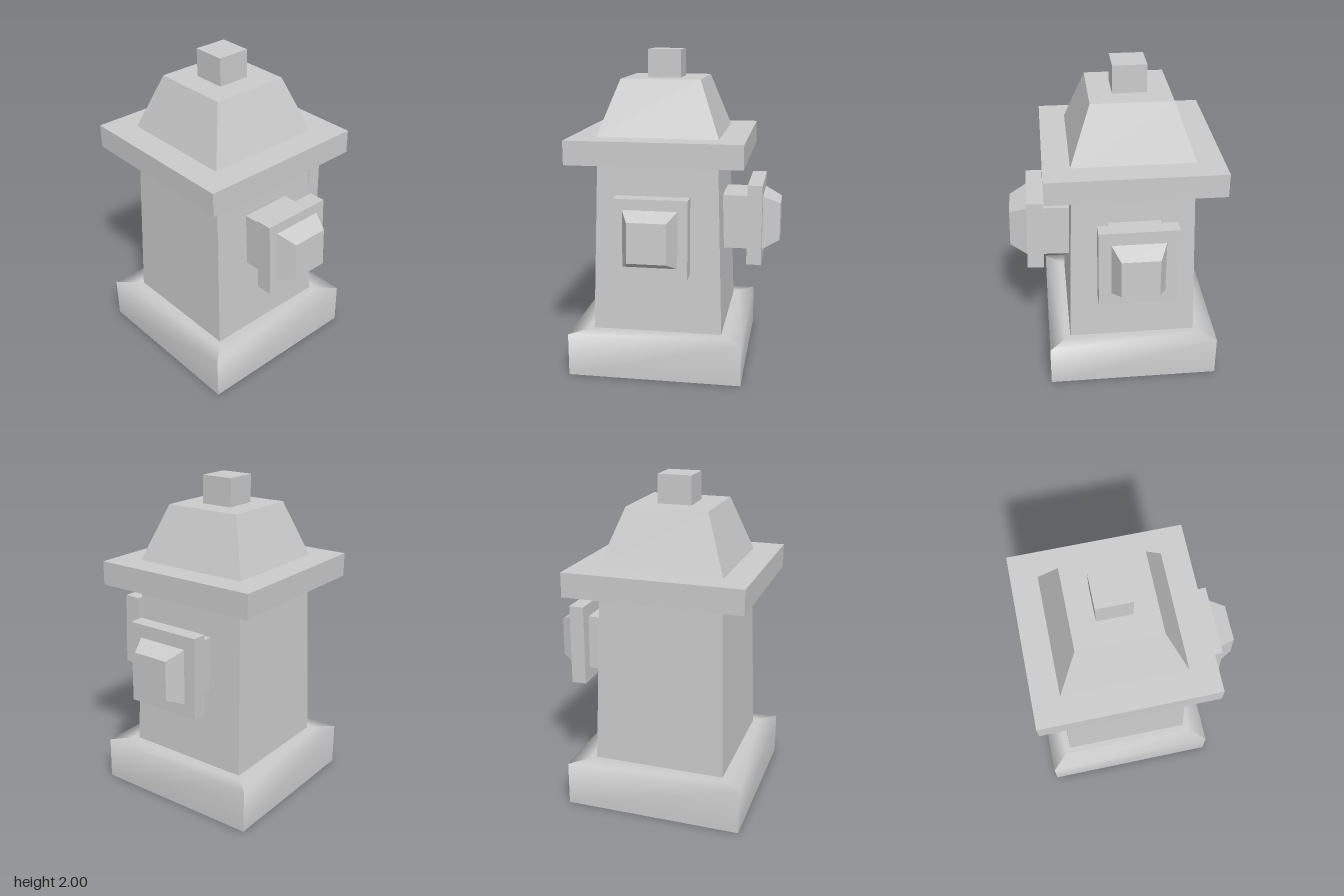
import * as THREE from 'three';

const CX = -0.1, CZ = -0.112; // main axis of the hydrant
const flat = new THREE.MeshStandardMaterial({ color: 0xcccccc, flatShading: true });
const smooth = new THREE.MeshStandardMaterial({ color: 0xcccccc });

// Square frustum standing on the origin, growing along +y
function frustum(halfBottom, halfTop, height) {
  const g = new THREE.CylinderGeometry(halfTop * Math.SQRT2, halfBottom * Math.SQRT2, height, 4);
  return g.rotateY(Math.PI / 4).translate(0, height / 2, 0);
}

function add(parent, name, geometry, material = flat) {
  const mesh = new THREE.Mesh(geometry, material);
  mesh.name = name;
  parent.add(mesh);
  return mesh;
}

// One side of the base: wall and top ledge share soft normals, corners stay sharp
function baseSide() {
  const rows = [[0.54, 0], [0.54, 0.268], [0.44, 0.271]];
  const g = new THREE.BufferGeometry();
  const pos = rows.flatMap(([r, y]) => [-r, y, r, r, y, r]);
  g.setAttribute('position', new THREE.Float32BufferAttribute(pos, 3));
  g.setIndex([0, 1, 3, 0, 3, 2, 2, 3, 5, 2, 5, 4]);
  g.computeVertexNormals();
  return g;
}

// Outlet pointing along +z: neck, square flange and tapered plug
function outlet(name, flangeW, flangeH, flangeD) {
  const group = new THREE.Group();
  group.name = name;
  add(group, 'neck', new THREE.BoxGeometry(0.326, 0.342, 0.3).translate(0, 0, -0.14));
  add(group, 'flange', new THREE.BoxGeometry(flangeW, flangeH, flangeD).translate(0, 0, flangeD / 2));
  const plug = frustum(0.17, 0.12, 0.108).rotateX(Math.PI / 2).scale(0.96, 1, 1);
  add(group, 'plug', plug).position.z = flangeD;
  return group;
}

export function createModel() {
  const model = new THREE.Group();
  model.name = 'hydrant';
  const tower = new THREE.Group();
  tower.name = 'tower';
  tower.position.set(CX, 0, CZ);
  model.add(tower);

  // Base
  const base = new THREE.Group();
  base.name = 'base';
  tower.add(base);
  for (let i = 0; i < 4; i++) add(base, 'baseSide', baseSide(), smooth).rotation.y = i * Math.PI / 2;
  add(base, 'baseTop', new THREE.PlaneGeometry(0.88, 0.88).rotateX(-Math.PI / 2)).position.y = 0.271;
  add(base, 'baseUnderside', new THREE.PlaneGeometry(1.08, 1.08).rotateX(Math.PI / 2));

  // Stacked tapering blocks: bottom half width, top half width, from y, to y
  const blocks = [
    ['body', 0.405, 0.371, 0.27, 1.34],
    ['brim', 0.536, 0.536, 1.34, 1.487],
    ['bonnet', 0.373, 0.246, 1.487, 1.828],
    ['topNut', 0.103, 0.103, 1.828, 2],
  ];
  for (const [name, a, b, y0, y1] of blocks) add(tower, name, frustum(a, b, y1 - y0)).position.y = y0;

  // Front outlet leans with the tapered wall
  const front = outlet('frontOutlet', 0.444, 0.47, 0.104);
  front.position.set(-0.094, 0.935, 0.434);
  front.rotation.x = -0.03;
  model.add(front);

  // Left outlet
  const side = outlet('leftOutlet', 0.478, 0.505, 0.092);
  side.position.set(0.438, 0.936, -0.118);
  side.rotation.y = Math.PI / 2;
  model.add(side);

  return model;
}
